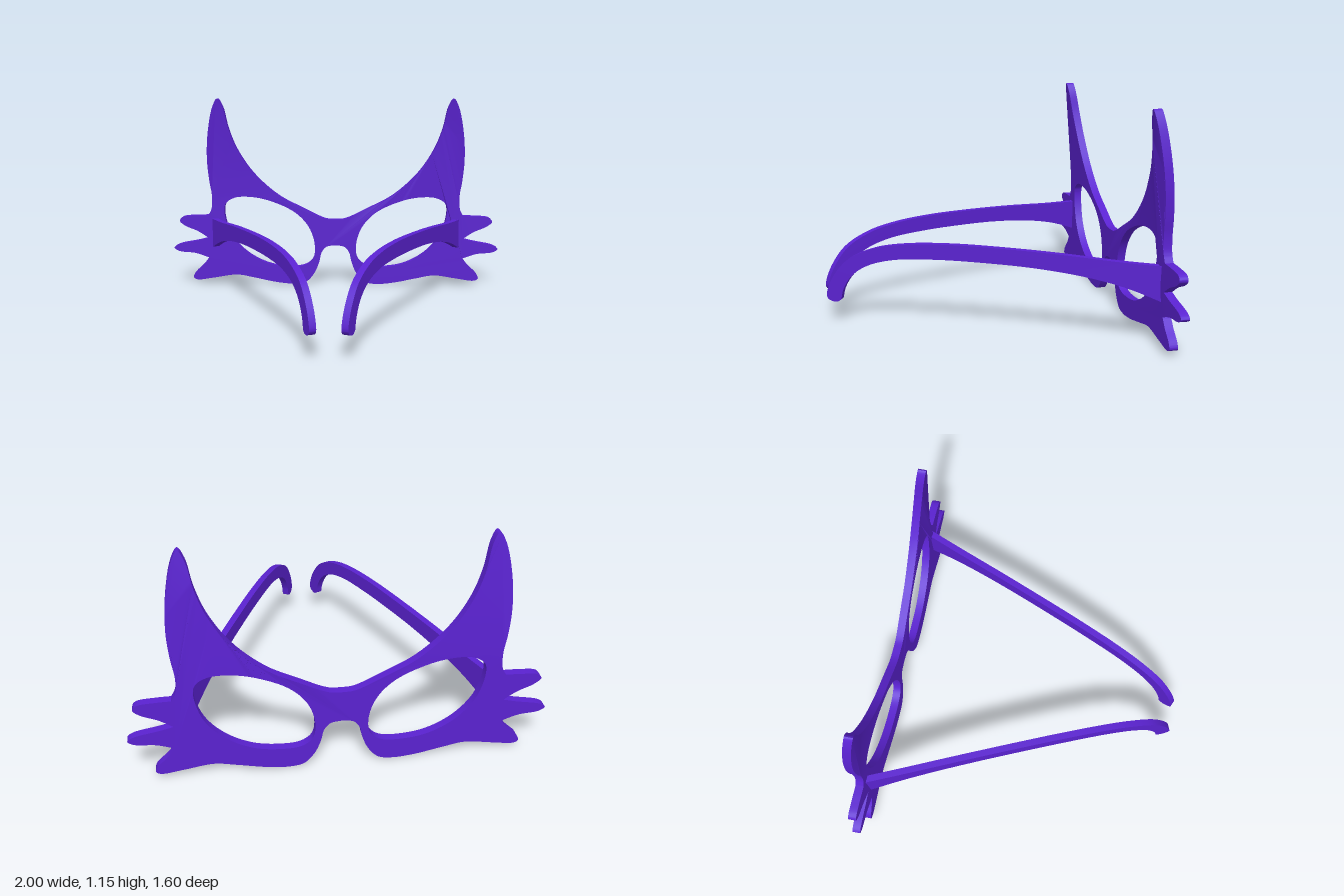
import * as THREE from 'three';
import { toCreasedNormals } from 'three/addons/utils/BufferGeometryUtils.js';

const material = new THREE.MeshStandardMaterial({ color: 0x5a22d0 });

// Smooth 2D curve through a few [x, y] points
function smooth(points, perSpan = 6, closed = false) {
  const curve = new THREE.CatmullRomCurve3(points.map(([x, y]) => new THREE.Vector3(x, y, 0)), closed, 'centripetal');
  const spans = closed ? points.length : points.length - 1;
  return curve.getPoints(spans * perSpan).map((p) => new THREE.Vector2(p.x, p.y));
}

// Join several smooth runs, leaving a sharp corner where they meet
function joinRuns(runs) {
  return runs.flatMap((run, i) => smooth(run).slice(i ? 1 : 0));
}

const mirror = (points) => points.map((p) => new THREE.Vector2(-p.x, p.y)).reverse();

// Half of the mask outline, from top centre around to bottom centre
const maskRuns = [
  // brow, ear and temple edge
  [[0, 0.405], [0.06, 0.41], [0.2, 0.475], [0.35, 0.555], [0.5, 0.69], [0.6, 0.84], [0.65, 0.97], [0.68, 1.1],
    [0.71, 1.148], [0.74, 1.1], [0.775, 0.94], [0.785, 0.78], [0.775, 0.65], [0.76, 0.55], [0.765, 0.47], [0.785, 0.43]],
  // upper whisker
  [[0.785, 0.43], [0.86, 0.428], [0.945, 0.418], [0.963, 0.395], [0.93, 0.365], [0.85, 0.33], [0.785, 0.288]],
  // middle whisker
  [[0.785, 0.288], [0.85, 0.272], [0.975, 0.245], [1, 0.225], [0.97, 0.205], [0.87, 0.193], [0.785, 0.165]],
  // lower whisker, cheek, nose side and bridge
  [[0.785, 0.165], [0.82, 0.12], [0.875, 0.065], [0.883, 0.038], [0.86, 0.025], [0.75, 0.038], [0.61, 0.057],
    [0.5, 0.038], [0.36, 0.01], [0.25, 0.001], [0.18, 0.015], [0.13, 0.07], [0.1, 0.14], [0.085, 0.2],
    [0.055, 0.235], [0, 0.245]],
];

const lensPoints = [
  [0.685, 0.45], [0.675, 0.505], [0.62, 0.54], [0.52, 0.545], [0.4, 0.52], [0.25, 0.45], [0.165, 0.36], [0.128, 0.25],
  [0.138, 0.16], [0.19, 0.118], [0.29, 0.109], [0.42, 0.13], [0.55, 0.2], [0.645, 0.31],
];

function createMask() {
  const half = joinRuns(maskRuns);
  const shape = new THREE.Shape([...half, ...mirror(half).slice(1, -1)]);
  const lens = smooth(lensPoints, 6, true).slice(0, -1);
  shape.holes.push(new THREE.Path(lens), new THREE.Path(mirror(lens)));
  const geometry = new THREE.ExtrudeGeometry(shape, { depth: 0.043, bevelEnabled: false });
  geometry.translate(0, 0, -0.8);

  // Ears curl gently forward toward their tips
  const pos = geometry.attributes.position;
  for (let i = 0; i < pos.count; i++) {
    const t = Math.max(0, (pos.getY(i) - 0.47) / 0.68);
    pos.setZ(i, pos.getZ(i) + 0.06 * t * t);
  }
  const mask = new THREE.Mesh(toCreasedNormals(geometry, 0.6), material);
  mask.name = 'mask';
  return mask;
}

// Side profile of an arm as [z, y]: top edge, hooked tip, lower edge
const armProfile = [
  [[-0.775, 0.408], [-0.6, 0.415], [-0.3, 0.437], [0, 0.45], [0.2, 0.452], [0.4, 0.44], [0.55, 0.41], [0.68, 0.345],
    [0.755, 0.25], [0.787, 0.17], [0.789, 0.14], [0.775, 0.122], [0.74, 0.115], [0.718, 0.128]],
  [[0.718, 0.128], [0.705, 0.185], [0.66, 0.262], [0.58, 0.32], [0.45, 0.358], [0.25, 0.372], [0, 0.37],
    [-0.2, 0.36], [-0.4, 0.337], [-0.55, 0.307], [-0.65, 0.277], [-0.775, 0.228]],
];

function createArm(side) {
  const slope = 0.4315; // inward lean of the arm per unit of z
  const stretch = Math.hypot(1, slope);
  const width = 0.035;
  const outline = joinRuns(armProfile).map((p) => new THREE.Vector2(p.x * stretch, p.y));
  const geometry = new THREE.ExtrudeGeometry(new THREE.Shape(outline), { depth: width, bevelEnabled: false });
  geometry.translate(0, 0, -width / 2);
  const arm = new THREE.Mesh(toCreasedNormals(geometry, 0.6), material);
  arm.rotation.y = Math.atan2(-1, -side * slope);
  arm.position.x = side * 0.414;
  arm.name = side > 0 ? 'leftArm' : 'rightArm';
  return arm;
}

export function createModel() {
  const group = new THREE.Group();
  group.name = 'maskGlasses';
  group.add(createMask(), createArm(1), createArm(-1));
  return group;
}
